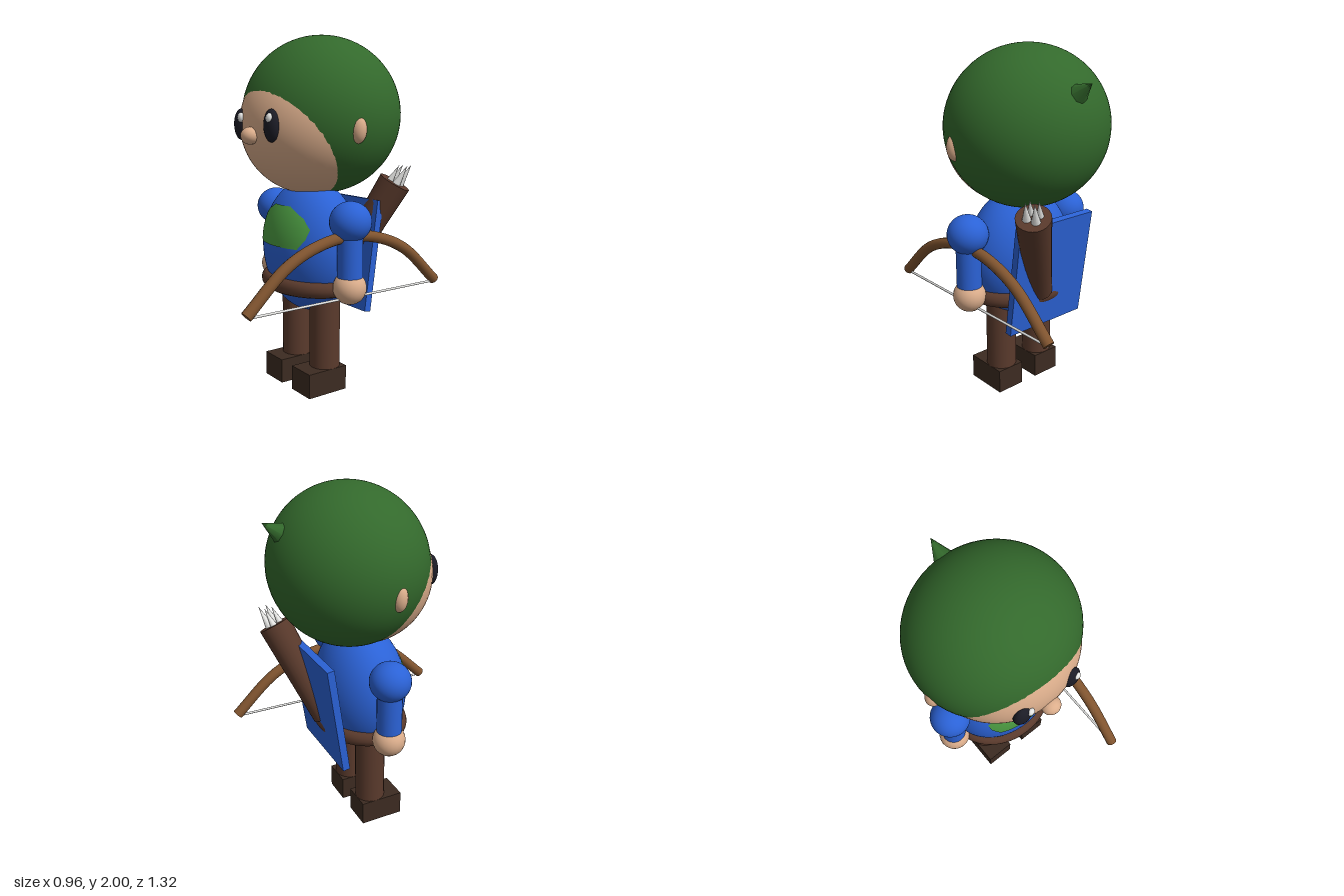
import * as THREE from 'three';

const mat = (name, color) => {
  const m = new THREE.MeshStandardMaterial({ color });
  m.name = name;
  return m;
};

export function createModel() {
  const skin = mat('skin', 0xdcae8c);
  const hoodGreen = mat('hood green', 0x33692c);
  const tunicBlue = mat('tunic blue', 0x2b62d6);
  const emblemGreen = mat('emblem green', 0x4c9c42);
  const leather = mat('leather brown', 0x5a3a2c);
  const bootBrown = mat('boot brown', 0x3c2b21);
  const wood = mat('bow wood', 0x80542f);
  const eyeBlack = mat('eye black', 0x1c1c26);
  const white = mat('off white', 0xe6e6e4);

  const model = new THREE.Group();
  model.name = 'archer';
  const add = (name, geometry, material, x = 0, y = 0, z = 0) => {
    const mesh = new THREE.Mesh(geometry, material);
    mesh.name = name;
    mesh.position.set(x, y, z);
    model.add(mesh);
    return mesh;
  };
  const ellipsoid = (name, material, [x, y, z], [rx, ry, rz], seg = 24) => {
    const g = new THREE.SphereGeometry(1, seg, Math.round(seg * 0.7)).scale(rx, ry, rz);
    return add(name, g, material, x, y, z);
  };
  // Tapered round part running from one point to another
  const UP = new THREE.Vector3(0, 1, 0);
  const rod = (name, material, from, to, rFrom, rTo, seg = 20) => {
    const axis = to.clone().sub(from);
    const g = new THREE.CylinderGeometry(rTo, rFrom, axis.length(), seg);
    const mesh = add(name, g, material);
    mesh.position.copy(from).add(to).multiplyScalar(0.5);
    mesh.quaternion.setFromUnitVectors(UP, axis.normalize());
    return mesh;
  };
  const v = (x, y, z) => new THREE.Vector3(x, y, z);

  // Head, hood and the little point at the back of the hood
  ellipsoid('head', skin, [0, 1.512, 0.001], [0.418, 0.392, 0.389], 64);
  ellipsoid('hood', hoodGreen, [0, 1.56, -0.07], [0.465, 0.44, 0.437], 64);
  rod('hoodPoint', hoodGreen, v(0, 1.755, -0.417), v(0, 1.832, -0.535), 0.07, 0, 8);

  // Face
  ellipsoid('nose', skin, [0, 1.456, 0.393], [0.053, 0.047, 0.05]);
  for (const s of [-1, 1]) {
    ellipsoid('eye', eyeBlack, [s * 0.155, 1.512, 0.355], [0.053, 0.086, 0.037]);
    ellipsoid('eyeGlint', white, [s * 0.146 + 0.024, 1.55, 0.377], [0.022, 0.027, 0.018], 14);
    ellipsoid('ear', skin, [s * 0.43, 1.493, 0.005], [0.046, 0.073, 0.043]);
  }

  // Torso and belt
  const T = { y: 0.82, rx: 0.328, ry: 0.38, rz: 0.25 };
  ellipsoid('torso', tunicBlue, [0, T.y, 0], [T.rx, T.ry, T.rz], 64);
  const belt = new THREE.TorusGeometry(0.285, 0.045, 14, 48).rotateX(Math.PI / 2).scale(1, 1, 0.8);
  add('belt', belt, leather, 0, 0.62, 0);

  // Chest emblem: a grid shaped by a width profile and laid on the torso
  const emblem = new THREE.PlaneGeometry(2, 1, 24, 16);
  const widths = [0.175, 0.215, 0.226, 0.18, 0.075];
  const p = emblem.attributes.position;
  for (let i = 0; i < p.count; i++) {
    const t = p.getY(i) + 0.5;
    const k = Math.min(3, Math.floor(t * 4));
    const x = p.getX(i) * THREE.MathUtils.lerp(widths[k], widths[k + 1], t * 4 - k);
    const y = 0.845 + t * 0.222;
    const z = T.rz * Math.sqrt(1 - (x / T.rx) ** 2 - ((y - T.y) / T.ry) ** 2);
    p.setXYZ(i, x, y, z + 0.005);
  }
  emblem.computeVertexNormals();
  add('chestEmblem', emblem, emblemGreen);

  // Arms, hands, legs and boots
  for (const s of [-1, 1]) {
    ellipsoid('shoulder', tunicBlue, [s * 0.367, 1.005, 0], [0.114, 0.11, 0.115], 32);
    rod('arm', tunicBlue, v(s * 0.365, 0.62, 0), v(s * 0.365, 1, 0), 0.07, 0.07, 24);
    ellipsoid('hand', skin, [s * 0.365, 0.645, 0], [0.092, 0.092, 0.092]);
    rod('leg', leather, v(s * 0.14, 0.1, 0), v(s * 0.14, 0.6, 0), 0.087, 0.087, 24);
    add('boot', new THREE.BoxGeometry(0.174, 0.14, 0.256), bootBrown, s * 0.14, 0.07, 0.04);
  }

  // Tilted back panel
  const panel = add('backPanel', new THREE.BoxGeometry(0.53, 0.64, 0.042), tunicBlue, 0, 0.765, -0.255);
  panel.rotation.x = -0.135;

  // Quiver slung across the back, with pale tips standing out of it
  const base = v(0.03, 0.65, -0.205);
  const mouth = v(0.26, 1.18, -0.408);
  rod('quiver', leather, base, mouth, 0.075, 0.094, 24);
  const axis = mouth.clone().sub(base).normalize();
  for (let i = 0; i < 4; i++) {
    const a = i * Math.PI / 2 + 0.4;
    const foot = mouth.clone().add(v(Math.cos(a) * 0.036, 0, Math.sin(a) * 0.036));
    const start = foot.clone().addScaledVector(axis, -0.03);
    rod('arrowTip', white, start, foot.clone().addScaledVector(axis, 0.115), 0.028, 0, 10);
  }

  // Bow with string, held on the left side
  const bowX = 0.361;
  const path = new THREE.CatmullRomCurve3(
    [[0.638, 0.598], [0.4, 0.81], [0.2, 0.897], [0, 0.925], [-0.2, 0.897], [-0.4, 0.81], [-0.638, 0.598]]
      .map(([z, y]) => v(bowX, y, z)));
  add('bow', new THREE.TubeGeometry(path, 40, 0.031, 14), wood);
  for (const s of [-1, 1]) {
    const dir = v(0, -0.67, s * 0.74);
    const end = v(bowX, 0.598, s * 0.638);
    rod('bowEnd', wood, end.clone().addScaledVector(dir, -0.01), end.clone().addScaledVector(dir, 0.002), 0.03, 0.03, 14);
  }
  rod('bowString', white, v(bowX, 0.588, -0.63), v(bowX, 0.588, 0.63), 0.007, 0.007, 8);

  return model;
}
